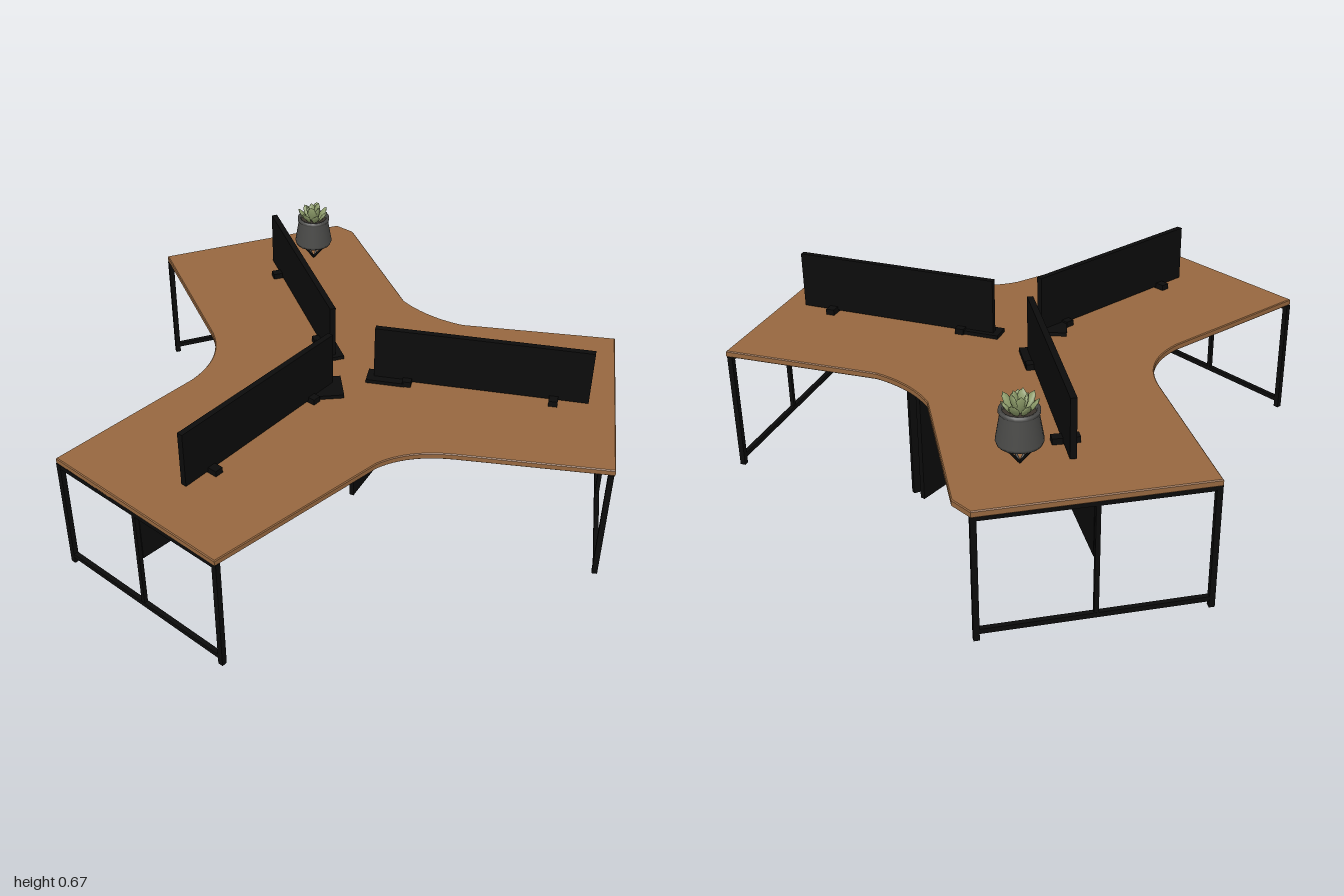
import * as THREE from 'three';

const mat = (name, color, side = THREE.FrontSide) => {
  const m = new THREE.MeshStandardMaterial({ color, side });
  m.name = name;
  return m;
};

export function createModel() {
  const wood = mat('wood', 0x96673f);
  const black = mat('black', 0x0b0b0b);
  const concrete = mat('concrete', 0x4a4a48);
  const leafGreen = mat('leafGreen', 0x8b9a68, THREE.DoubleSide);
  const soil = mat('soil', 0x3a342c);

  const root = new THREE.Group();
  root.name = 'threeWayDesk';
  const add = (parent, name, geo, material) => {
    const m = new THREE.Mesh(geo, material);
    m.name = name;
    parent.add(m);
    return m;
  };
  const group = (name, parent = root) => {
    const g = new THREE.Group();
    g.name = name;
    parent.add(g);
    return g;
  };

  // upright slab running between two plan points [x, z]
  const slab = (parent, name, a, b, y0, y1, thick) => {
    const dx = b[0] - a[0], dz = b[1] - a[1];
    const m = add(parent, name, new THREE.BoxGeometry(Math.hypot(dx, dz), y1 - y0, thick), black);
    m.position.set((a[0] + b[0]) / 2, (y0 + y1) / 2, (a[1] + b[1]) / 2);
    m.rotation.y = -Math.atan2(dz, dx);
    return m;
  };
  const mix = (a, b, t) => [a[0] + (b[0] - a[0]) * t, a[1] + (b[1] - a[1]) * t];

  // desk top: three arms joined by rounded inner corners
  const s = new THREE.Shape();
  s.moveTo(-0.64, -0.88);
  s.lineTo(-0.56, -0.88);
  s.lineTo(-0.09, -0.585);
  s.quadraticCurveTo(0.04, -0.547, 0.17, -0.585);
  s.lineTo(0.64, -0.85);
  s.lineTo(1.0, -0.195);
  s.lineTo(0.57, 0.05);
  s.quadraticCurveTo(0.44, 0.125, 0.405, 0.24);
  s.lineTo(0.31, 0.875);
  s.lineTo(-0.39, 0.845);
  s.lineTo(-0.353, 0.27);
  s.quadraticCurveTo(-0.36, 0.095, -0.51, 0.01);
  s.lineTo(-1.0, -0.27);
  s.closePath();
  const topGeo = new THREE.ExtrudeGeometry(s, {
    depth: 0.016, bevelEnabled: true, bevelThickness: 0.003, bevelSize: 0.003,
    bevelOffset: -0.003, bevelSegments: 1, curveSegments: 12,
  });
  topGeo.rotateX(Math.PI / 2);
  add(root, 'deskTop', topGeo, wood).position.y = 0.435;

  // each arm: end frame corners, panel and screen lines
  const arms = [
    { name: 'frontArm', ends: [[-0.382, 0.837], [0.302, 0.862]], hub: [0.04, 0],
      screen: [[0.03, 0.0], [0.018, 0.695]], pad: [0.03, 0.04] },
    { name: 'leftArm', ends: [[0.637, -0.835], [0.985, -0.197]], hub: [0.07, -0.1],
      screen: [[0.12, -0.125], [0.76, -0.448]], pad: [0.16, -0.14] },
    { name: 'rightArm', ends: [[-0.985, -0.27], [-0.63, -0.865]], hub: [0.0, -0.1],
      screen: [[-0.06, -0.125], [-0.645, -0.503]], pad: [-0.1, -0.155] },
  ];
  for (const arm of arms) {
    const g = group(arm.name);
    const [a, b] = arm.ends;
    const mid = mix(a, b, 0.5);

    // end frame: legs, middle post, rails
    const frame = group('endFrame', g);
    const angle = -Math.atan2(b[1] - a[1], b[0] - a[0]);
    for (const [p, y0, w] of [[a, 0, 0.018], [b, 0, 0.018], [mid, 0.03, 0.014]]) {
      const leg = add(frame, 'leg', new THREE.BoxGeometry(w, 0.416 - y0, w), black);
      leg.position.set(p[0], (0.416 + y0) / 2, p[1]);
      leg.rotation.y = angle;
    }
    slab(frame, 'bottomRail', a, b, 0.022, 0.038, 0.016);
    slab(frame, 'topRail', a, b, 0.4, 0.416, 0.016);

    // modesty panel below the top
    slab(g, 'modestyPanel', arm.hub, mix(arm.hub, mid, 0.99), 0.222, 0.416, 0.016);

    // privacy screen with clamps
    const [p, q] = arm.screen;
    slab(g, 'privacyScreen', p, q, 0.445, 0.64, 0.02);
    for (const t of [0.16, 0.84]) {
      const w = t < 0.5 ? 0.07 : 0.085;
      const c = add(g, 'screenClamp', new THREE.BoxGeometry(0.03, 0.024, w), black);
      const m = mix(p, q, t);
      c.position.set(m[0], 0.446, m[1]);
      c.rotation.y = -Math.atan2(q[1] - p[1], q[0] - p[0]);
    }

    // cable hub pad at the inner end
    const front = arm.name === 'frontArm';
    const pad = add(g, 'hubPad', new THREE.BoxGeometry(0.13, 0.016, front ? 0.13 : 0.065), black);
    pad.position.set(arm.pad[0], 0.443, arm.pad[1]);
    pad.rotation.y = front ? Math.PI / 4
      : -Math.atan2(q[1] - p[1], q[0] - p[0]);
    if (front) pad.scale.z = 0.85;
  }

  // central support panels reaching the floor
  const support = group('centralSupport');
  slab(support, 'floorPanel', [-0.055, 0.005], [0.08, -0.53], 0.006, 0.416, 0.016);
  slab(support, 'floorPanel', [0.13, 0.005], [0.03, -0.53], 0.006, 0.416, 0.016);

  // potted plant
  const plant = group('plant');
  plant.position.set(-0.55, 0, -0.62);
  const pot = [[0, 0.507], [0.066, 0.507], [0.07, 0.518], [0.056, 0.6], [0.06, 0.605],
    [0.06, 0.615], [0.05, 0.615], [0.048, 0.6]];
  add(plant, 'pot', new THREE.LatheGeometry(pot.map(p => new THREE.Vector2(...p)), 20), concrete);
  const earth = add(plant, 'soil', new THREE.CylinderGeometry(0.049, 0.049, 0.004, 16), soil);
  earth.position.y = 0.602;

  // wire stand: rods meeting in points on the desk
  const rod = (a, b) => add(plant, 'standRod', new THREE.TubeGeometry(
    new THREE.LineCurve3(new THREE.Vector3(...a), new THREE.Vector3(...b)), 1, 0.004, 6), black);
  for (let i = 0; i < 4; i++) {
    const t = i * Math.PI / 2, u = t + Math.PI / 2;
    const k = [0.052 * Math.cos(t), 0.507, 0.052 * Math.sin(t)];
    rod([0, 0.442, 0], k);
    rod(k, [0.052 * Math.cos(u), 0.507, 0.052 * Math.sin(u)]);
  }

  // succulent leaves in two rosettes
  const leafGeo = new THREE.LatheGeometry([[0, 0], [0.011, 0.012], [0.018, 0.035],
    [0.012, 0.054], [0, 0.066]].map(p => new THREE.Vector2(...p)), 8);
  leafGeo.scale(1, 1, 0.4);
  for (const [n, r, tilt, size, turn] of [[7, 0.02, 0.65, 0.95, 0], [5, 0.008, 0.25, 1.05, 0.4]]) {
    for (let i = 0; i < n; i++) {
      const pivot = group('leafPivot', plant);
      pivot.position.y = 0.6;
      pivot.rotation.y = turn + i * Math.PI * 2 / n;
      const leaf = add(pivot, 'leaf', leafGeo, leafGreen);
      leaf.position.z = r;
      leaf.rotation.x = tilt;
      leaf.scale.setScalar(size * (i % 2 ? 0.92 : 1));
    }
  }
  return root;
}
